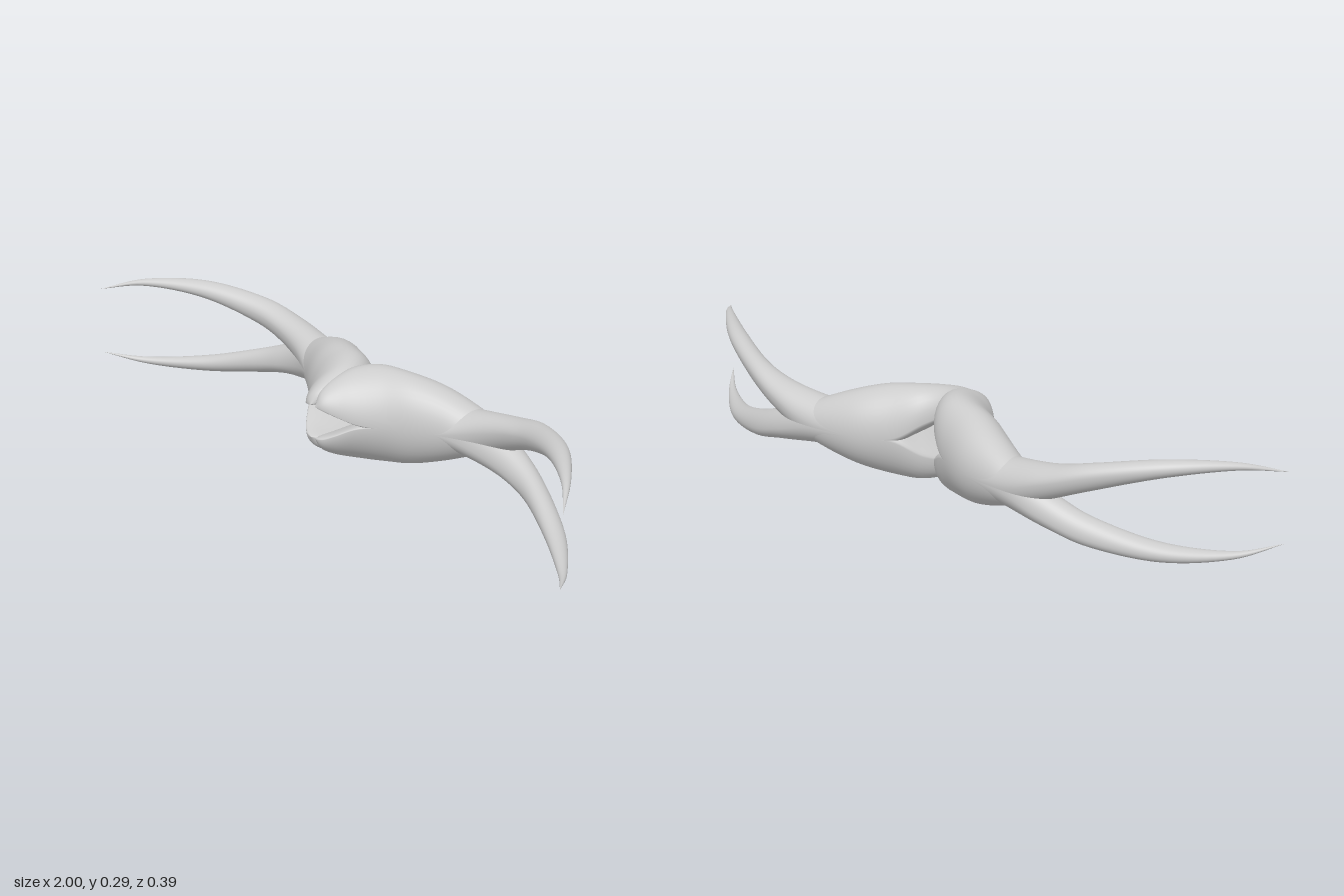
import * as THREE from 'three';

const MID = 0.147; // height of the horizontal mirror plane

// Cross-sections from the pointed inner end to the outer tip, heights about the mirror plane:
// front edge x, y, z, then back edge x, y, z, then lowest and highest y at mid-width
const SECTIONS = [
  [0.01, -0.048, 0.168, 0.01, -0.048, 0.168, -0.048, -0.048],
  [0.035, -0.045, 0.162, -0.015, -0.062, 0.13, -0.083, -0.044],
  [0.065, -0.03, 0.14, -0.025, -0.07, 0.07, -0.108, -0.038],
  [0.105, -0.008, 0.1, -0.02, -0.07, 0.0, -0.127, -0.022],
  [0.155, 0.0, 0.055, 0.02, -0.05, -0.07, -0.137, 0.008],
  [0.22, 0.0, 0.01, 0.09, -0.005, -0.125, -0.131, 0.035],
  [0.3, 0.003, -0.04, 0.2, 0.0, -0.175, -0.103, 0.056],
  [0.4, 0.03, -0.08, 0.35, 0.008, -0.194, -0.052, 0.073],
  [0.5, 0.06, -0.09, 0.47, 0.046, -0.188, -0.003, 0.092],
  [0.6, 0.085, -0.072, 0.6, 0.088, -0.15, 0.044, 0.12],
  [0.75, 0.118, 0.0, 0.77, 0.122, -0.055, 0.096, 0.145],
  [0.9, 0.127, 0.1, 0.91, 0.128, 0.075, 0.117, 0.138],
  [1.0, 0.103, 0.19, 1.0, 0.103, 0.19, 0.103, 0.103],
];

const spline = (pick) =>
  new THREE.CatmullRomCurve3(SECTIONS.map((s) => new THREE.Vector3(...pick(s))), false, 'catmullrom', 0.5);
const frontEdge = spline((s) => s.slice(0, 3));
const backEdge = spline((s) => s.slice(3, 6));
const heights = spline((s) => [s[6], s[7], 0]);

// One swept blade: a full lobe that crosses the mirror plane and thins to a curved horn
function bladeGeometry(sx, sy) {
  const rows = 96, sides = 40;
  const positions = [], index = [];
  for (let i = 0; i <= rows; i++) {
    const t = i / rows;
    const f = frontEdge.getPoint(t), b = backEdge.getPoint(t), h = heights.getPoint(t);
    const middle = (f.y + b.y) / 2;
    for (let j = 0; j < sides; j++) {
      const a = (j / sides) * Math.PI * 2;
      const rise = Math.sin(a);
      const p = b.clone().lerp(f, 0.5 + 0.5 * Math.cos(a));
      // separate bulge above and below the line between the two edges
      p.y += rise > 0 ? rise * (h.y - middle) : rise * (middle - h.x);
      positions.push(sx * p.x, MID + sy * p.y, p.z);
    }
  }
  for (let i = 0; i < rows; i++) {
    for (let j = 0; j < sides; j++) {
      const k = (j + 1) % sides;
      const a = i * sides + j, b = a + sides, c = i * sides + k, d = c + sides;
      // a single mirror turns the faces over, so swap their corners
      if (sx * sy > 0) index.push(a, b, c, c, b, d);
      else index.push(a, c, b, c, d, b);
    }
  }
  const geometry = new THREE.BufferGeometry();
  geometry.setAttribute('position', new THREE.Float32BufferAttribute(positions, 3));
  geometry.setIndex(index);
  geometry.computeVertexNormals();
  return geometry;
}

export function createModel() {
  const model = new THREE.Group();
  model.name = 'crossedHorns';
  const material = new THREE.MeshStandardMaterial({ color: 0xcccccc });
  // Four mirrored blades; each pair crosses in an X on its side
  for (const sx of [1, -1]) {
    for (const sy of [1, -1]) {
      const blade = new THREE.Mesh(bladeGeometry(sx, sy), material);
      blade.name = (sx > 0 ? 'left' : 'right') + (sy > 0 ? 'Rising' : 'Falling') + 'Horn';
      model.add(blade);
    }
  }
  return model;
}
